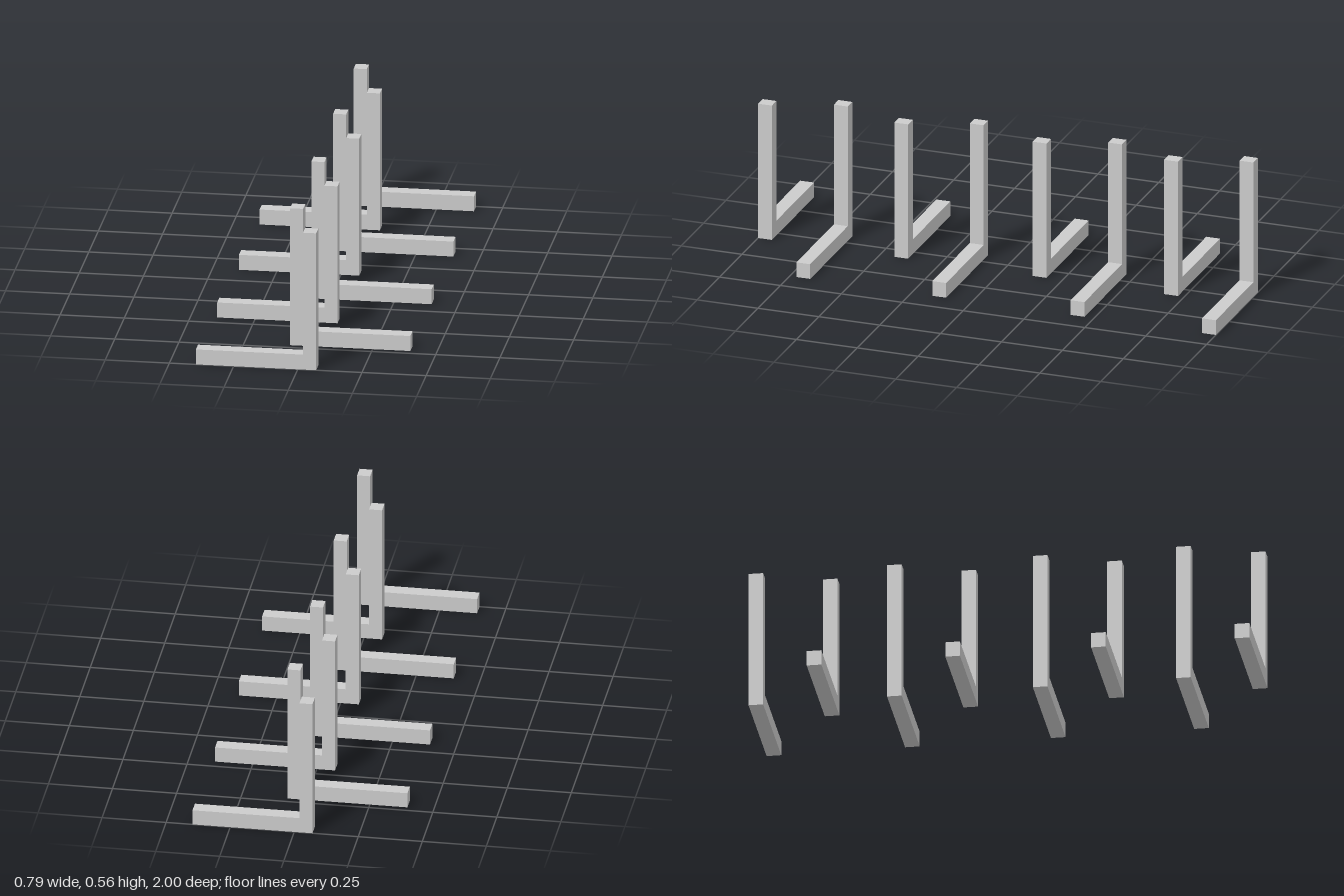
import * as THREE from 'three';

const DEPTH = 0.057;   // thickness of each bracket along z
const HEIGHT = 0.558;  // top of the upright
const ARM = 0.061;     // height of the floor arm
const REACH = 0.397;   // outer end of the arm
const INNER = 0.0205;  // upright's face nearest the centre line
const OUTER = 0.0715;  // upright's far face

// L-shaped bracket: upright just past the centre line, arm reaching to the other side
function bracketGeometry(side) {
  const points = [
    [OUTER, 0], [OUTER, HEIGHT], [INNER, HEIGHT],
    [INNER, ARM], [-REACH, ARM], [-REACH, 0],
  ].map(([x, y]) => new THREE.Vector2(x * side, y));
  const geometry = new THREE.ExtrudeGeometry(new THREE.Shape(points), {
    depth: DEPTH,
    bevelEnabled: false,
  });
  return geometry.translate(0, 0, -DEPTH / 2);
}

export function createModel() {
  const group = new THREE.Group();
  group.name = 'bracketRow';
  const material = new THREE.MeshStandardMaterial({ color: 0xcccccc });
  const rightArm = bracketGeometry(1);
  const leftArm = bracketGeometry(-1);

  // Brackets from front to back, alternating the side their arm points to
  const rows = [0.9715, 0.694, 0.412, 0.136, -0.156, -0.432, -0.696, -0.9715];
  rows.forEach((z, i) => {
    const bracket = new THREE.Mesh(i % 2 ? leftArm : rightArm, material);
    bracket.name = (i % 2 ? 'leftBracket' : 'rightBracket') + (Math.floor(i / 2) + 1);
    bracket.position.z = z;
    group.add(bracket);
  });
  return group;
}
